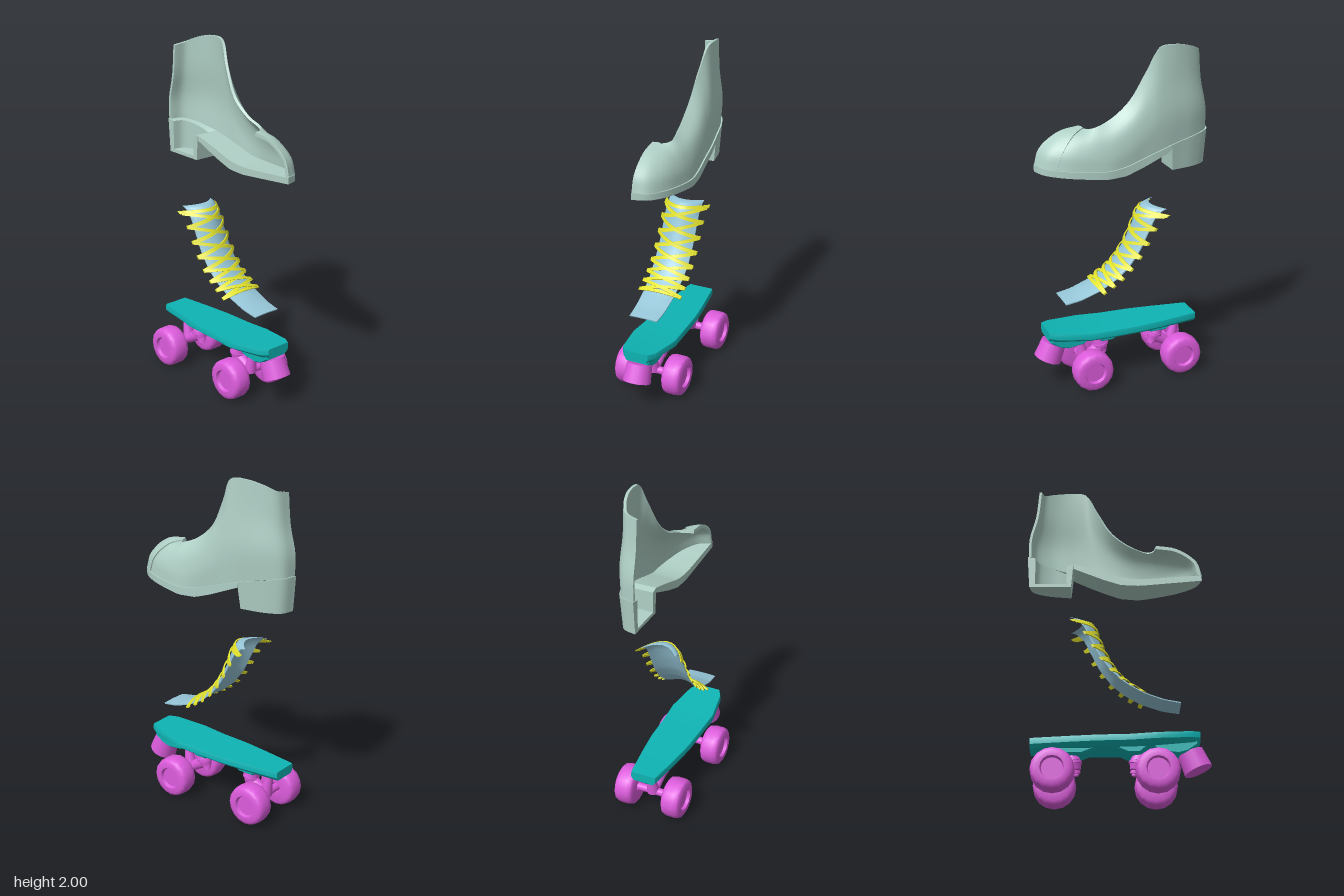
import * as THREE from 'three';
import { toCreasedNormals } from 'three/addons/utils/BufferGeometryUtils.js';

const V = (x, y, z) => new THREE.Vector3(x, y, z);
const lerp = THREE.MathUtils.lerp;

function material(name, color, side = THREE.FrontSide) {
  const m = new THREE.MeshStandardMaterial({ color, side });
  m.name = name;
  return m;
}

// Joins closed rings of points into a capped solid; caps pair point j with point n-1-j.
function loft(rings, crease = 0.7) {
  const n = rings[0].length, last = rings.length - 1, pts = rings.flat();
  const idx = [];
  for (let i = 0; i < last; i++) for (let j = 0; j < n; j++) {
    const a = i * n + j, b = a + n, d = i * n + (j + 1) % n, c = d + n;
    idx.push(a, b, c, a, c, d);
  }
  for (let j = 0; j < n / 2 - 1; j++) {
    const q = [j, j + 1, n - 2 - j, n - 1 - j], o = last * n;
    idx.push(q[0], q[1], q[2], q[0], q[2], q[3]);
    idx.push(o + q[0], o + q[2], o + q[1], o + q[0], o + q[3], o + q[2]);
  }
  // keep faces pointing outwards
  let volume = 0;
  for (let k = 0; k < idx.length; k += 3)
    volume += pts[idx[k]].dot(pts[idx[k + 1]].clone().cross(pts[idx[k + 2]]));
  if (volume < 0) idx.reverse();
  const g = new THREE.BufferGeometry().setFromPoints(pts);
  g.setIndex(idx);
  return toCreasedNormals(g, crease);
}

// Reads a row of columns from a table, interpolated by its first column.
function sample(table, t) {
  const k = Math.max(1, table.findIndex((r) => r[0] >= t));
  const a = table[k - 1], b = table[k], f = (t - a[0]) / (b[0] - a[0]);
  return a.map((v, i) => lerp(v, b[i], f));
}

// Boot guide curves, each from the heel round the outside to the toe.
const guide = (rows) => new THREE.CatmullRomCurve3(rows.map((p) => V(...p)));
const welt = guide([[.01, 1.49, -.51], [.09, 1.488, -.487], [.137, 1.475, -.4], [.16, 1.45, -.28],
  [.175, 1.42, -.17], [.18, 1.385, -.06], [.187, 1.355, .04], [.193, 1.345, .14],
  [.178, 1.35, .25], [.145, 1.36, .37], [.085, 1.368, .465], [.01, 1.375, .497]]);
const low = guide([[.01, 1.61, -.51], [.09, 1.62, -.485], [.145, 1.63, -.4], [.172, 1.63, -.28],
  [.182, 1.6, -.18], [.186, 1.52, -.08], [.188, 1.46, .02], [.186, 1.43, .13],
  [.172, 1.43, .24], [.14, 1.445, .345], [.085, 1.45, .435], [.01, 1.46, .47]]);
const high = guide([[.01, 1.76, -.476], [.085, 1.78, -.455], [.13, 1.8, -.385], [.155, 1.81, -.285],
  [.165, 1.8, -.19], [.165, 1.7, -.11], [.165, 1.59, 0], [.16, 1.53, .11],
  [.142, 1.515, .22], [.105, 1.53, .28], [.055, 1.537, .335], [.01, 1.54, .36]]);
const rim = guide([[.01, 1.935, -.46], [.085, 1.95, -.44], [.125, 1.98, -.375], [.148, 2, -.28],
  [.145, 1.99, -.18], [.12, 1.86, -.11], [.1, 1.7, -.02], [.1, 1.61, .09],
  [.1, 1.57, .19], [.06, 1.56, .225], [.03, 1.56, .235], [.01, 1.56, .24]]);

const bootPoint = (u, v) =>
  new THREE.CatmullRomCurve3([welt, low, high, rim].map((c) => c.getPoint(u))).getPoint(v);

function bootNormal(u, v) {
  const e = 0.01;
  const du = bootPoint(Math.min(1, u + e), v).sub(bootPoint(Math.max(0, u - e), v));
  const dv = bootPoint(u, Math.min(1, v + e)).sub(bootPoint(u, Math.max(0, v - e)));
  return dv.cross(du).normalize();
}

// A skin over part of the boot surface between two offsets.
function bootSkin(u0, u1, outer, inner, nu, nv = 12) {
  const rings = [];
  for (let i = 0; i <= nu; i++) {
    const u = lerp(u0, u1, i / nu), out = [], back = [];
    for (let j = 0; j <= nv; j++) {
      const p = bootPoint(u, j / nv), n = bootNormal(u, j / nv);
      for (const [list, d] of [[out, outer], [back, inner]]) {
        const q = p.clone().addScaledVector(n, d);
        q.x = Math.max(.01, q.x);
        list.push(q);
      }
    }
    rings.push([...out, ...back.reverse()]);
  }
  return loft(rings, 0.8);
}

function weltPoint(u) {
  const t = welt.getTangent(u), p = welt.getPoint(u);
  p.addScaledVector(V(t.z, 0, -t.x).normalize(), .008);
  if (u === 0 || u === 1) p.x = .01;
  p.x = Math.max(.01, p.x);
  return p;
}

function soleGeometry() {
  const under = [[-.6, 1.55], [-.245, 1.41], [-.075, 1.34], [.03, 1.305], [.14, 1.3], [.4, 1.325], [.6, 1.345]];
  const rings = [];
  for (let i = 0; i <= 32; i++) {
    const p = weltPoint(lerp(.3, 1, i / 32)), y = sample(under, p.z)[1];
    rings.push([p, V(p.x, y, p.z), V(.01, y, p.z), V(.01, p.y, p.z)]);
  }
  return loft(rings);
}

// Hollow heel: tapered outer wall, floor and inner wall.
function heelGeometry() {
  const path = [];
  for (let i = 0; i <= 16; i++) path.push(weltPoint(.3 * i / 16));
  const z = path[16].z, y = path[16].y;
  path.push(V(.08, y, z), V(.01, y, z));
  const toward = (p, f, h) => V(lerp(p.x, .01, f), h, lerp(p.z, -.37, f));
  return loft(path.map((p) => [p, toward(p, .1, 1.29), V(.01, 1.29, -.37), V(.01, 1.31, -.37),
    toward(p, .32, 1.31), toward(p, .32, p.y - .01)]), 0.6);
}

// Tongue rows: position, z, y, half width, arch depth.
const tongueRows = [[0, .36, .54, .085, .004], [.12, .27, .56, .09, .012], [.27, .165, .605, .095, .025],
  [.39, .08, .66, .1, .035], [.5, .016, .725, .105, .045], [.62, -.04, .81, .105, .05],
  [.74, -.08, .9, .105, .055], [.87, -.115, 1, .105, .07], [.94, -.145, 1.046, .105, .09], [1, -.185, 1.05, .105, .075]];

function tonguePoint(s, x, lift) {
  const [, z, y, w, arch] = sample(tongueRows, s);
  const back = Math.min(.85, .2 + s), drop = arch * (x / w) ** 2 - lift;
  return V(x, y - drop * (1 - back), z - drop * back);
}

function tongueGeometry() {
  const rings = [];
  for (let i = 0; i <= 30; i++) {
    const s = i / 30, w = sample(tongueRows, s)[3], out = [], back = [];
    for (let j = -6; j <= 6; j++) {
      out.push(tonguePoint(s, w * j / 6, 0));
      back.push(tonguePoint(s, w * j / 6, -.008));
    }
    rings.push([...out, ...back.reverse()]);
  }
  return loft(rings, 0.8);
}

// One flat lace strand lying over the tongue.
function laceGeometry(s0, s1, lift, half = .135) {
  const rings = [];
  for (let i = 0; i <= 12; i++) {
    const x = lerp(-half, half, i / 12), s = lerp(s0, s1, i / 12), h = .012;
    rings.push([tonguePoint(s - h, x, lift), tonguePoint(s + h, x, lift),
      tonguePoint(s + h, x, lift + .01), tonguePoint(s - h, x, lift + .01)]);
  }
  return loft(rings);
}

// Plate with chamfered edges: z, half width, top height.
function plateGeometry() {
  const rows = [[-.465, .076, .33], [-.44, .082, .33], [-.24, .11, .332], [-.1, .125, .334],
    [.08, .13, .337], [.22, .137, .345], [.41, .105, .362], [.46, .076, .368]];
  return loft(rows.map(([z, w, y]) => {
    const side = [[w * .97, y], [w, y - .012], [w, y - .035], [w * .8, y - .055]];
    return [...side.map(([x, h]) => V(x, h, z)), ...side.reverse().map(([x, h]) => V(-x, h, z))];
  }), 0.4);
}

function mountGeometry(profile, width) {
  const shape = new THREE.Shape(profile.map(([z, y]) => new THREE.Vector2(z, y)));
  const g = new THREE.ExtrudeGeometry(shape, { depth: width - .02, bevelSize: .008, bevelThickness: .01, bevelSegments: 1 });
  return g.translate(0, 0, .01 - width / 2).rotateY(-Math.PI / 2);
}

// Rounded wheel with a recessed hub, axis along x.
function wheelGeometry() {
  const profile = [[0, -.04], [.025, -.04], [.03, -.055], [.095, -.058], [.112, -.048], [.119, -.025], [.119, .025],
    [.112, .048], [.095, .058], [.065, .058], [.058, .04], [0, .04]].map(([r, h]) => new THREE.Vector2(r, h));
  return toCreasedNormals(new THREE.LatheGeometry(profile, 16).rotateZ(-Math.PI / 2), 0.75);
}

export function createModel() {
  const model = new THREE.Group();
  const leather = material('pale green leather', 0xb0d0c6, THREE.DoubleSide);
  const fabric = material('light blue fabric', 0x96c6d8, THREE.DoubleSide);
  const yellow = material('yellow lace', 0xe2e22c);
  const teal = material('teal plate', 0x0fb4b4);
  const magenta = material('magenta rubber', 0xdd5cdd);

  const add = (name, geometry, mat, parent = model) => {
    const mesh = new THREE.Mesh(geometry, mat);
    mesh.name = name;
    parent.add(mesh);
    return mesh;
  };
  // Cylinder running between two points
  const rod = (name, a, b, ra, rb, parent, sides = 16) => {
    const m = add(name, new THREE.CylinderGeometry(rb, ra, a.distanceTo(b), sides), magenta, parent);
    m.position.copy(a).lerp(b, .5);
    m.quaternion.setFromUnitVectors(V(0, 1, 0), b.clone().sub(a).normalize());
  };

  // Half boot
  add('bootUpper', bootSkin(0, 1, 0, -.015, 55), leather);
  add('toeCap', bootSkin(.85, 1, .007, -.002, 12), leather);
  add('sole', soleGeometry(), leather);
  add('heel', heelGeometry(), leather);

  // Tongue and criss-cross laces
  add('tongue', tongueGeometry(), fabric);
  const laces = new THREE.Group();
  laces.name = 'laces';
  model.add(laces);
  const eyelets = [.28, .35, .42, .5, .59, .69, .8, .9];
  for (let i = 0; i < eyelets.length - 1; i++) {
    add('laceRising', laceGeometry(eyelets[i], eyelets[i + 1], .003), yellow, laces);
    add('laceFalling', laceGeometry(eyelets[i + 1], eyelets[i], .009), yellow, laces);
  }
  add('laceBottom', laceGeometry(.28, .28, .003), yellow, laces);
  add('laceTop', laceGeometry(.91, .91, .006, .14), yellow, laces);

  // Plate and its mounts
  add('plate', plateGeometry(), teal);
  add('frontMount', mountGeometry([[.44, .325], [.44, .3], [.39, .265], [.34, .252], [.25, .262], [.2, .295], [.17, .292],
    [.13, .257], [.07, .257], [-.02, .295], [-.02, .31]], .15), teal);
  add('rearMount', mountGeometry([[-.1, .31], [-.1, .29], [-.19, .253], [-.275, .253], [-.32, .28], [-.42, .28], [-.44, .31]], .13), teal);

  // Trucks: axle, pivot arm, cushion stack and two wheels, mirrored front to back
  const wheel = wheelGeometry();
  for (const [name, z, d] of [['frontTruck', .225, 1], ['rearTruck', -.335, -1]]) {
    const truck = new THREE.Group();
    truck.name = name;
    truck.position.set(0, .124, z);
    model.add(truck);
    rod('axle', V(-.16, 0, 0), V(.16, 0, 0), .023, .023, truck);
    rod('pivotArm', V(0, 0, 0), V(0, .165, d * .035), .038, .014, truck);
    rod('yoke', V(0, .0, 0), V(0, .06, d * -.1), .03, .035, truck);
    const at = (t) => V(0, lerp(.015, .14, t), d * lerp(-.125, -.09, t));
    rod('kingpin', at(0), at(1.1), .014, .014, truck);
    rod('kingpinNut', at(.08), at(.2), .026, .026, truck, 6);
    rod('lowerCushion', at(.24), at(.48), .032, .04, truck);
    rod('collar', at(.48), at(.6), .048, .048, truck);
    rod('upperCushion', at(.62), at(.95), .045, .036, truck);
    for (const side of [-1, 1]) {
      const w = add(side > 0 ? 'leftWheel' : 'rightWheel', wheel, magenta, truck);
      w.position.x = side * .15;
      w.rotation.y = side > 0 ? 0 : Math.PI;
    }
  }

  // Tilted toe stop
  rod('toeStop', V(0, .17, .45), V(0, .27, .408), .081, .073, model, 16);
  return model;
}
